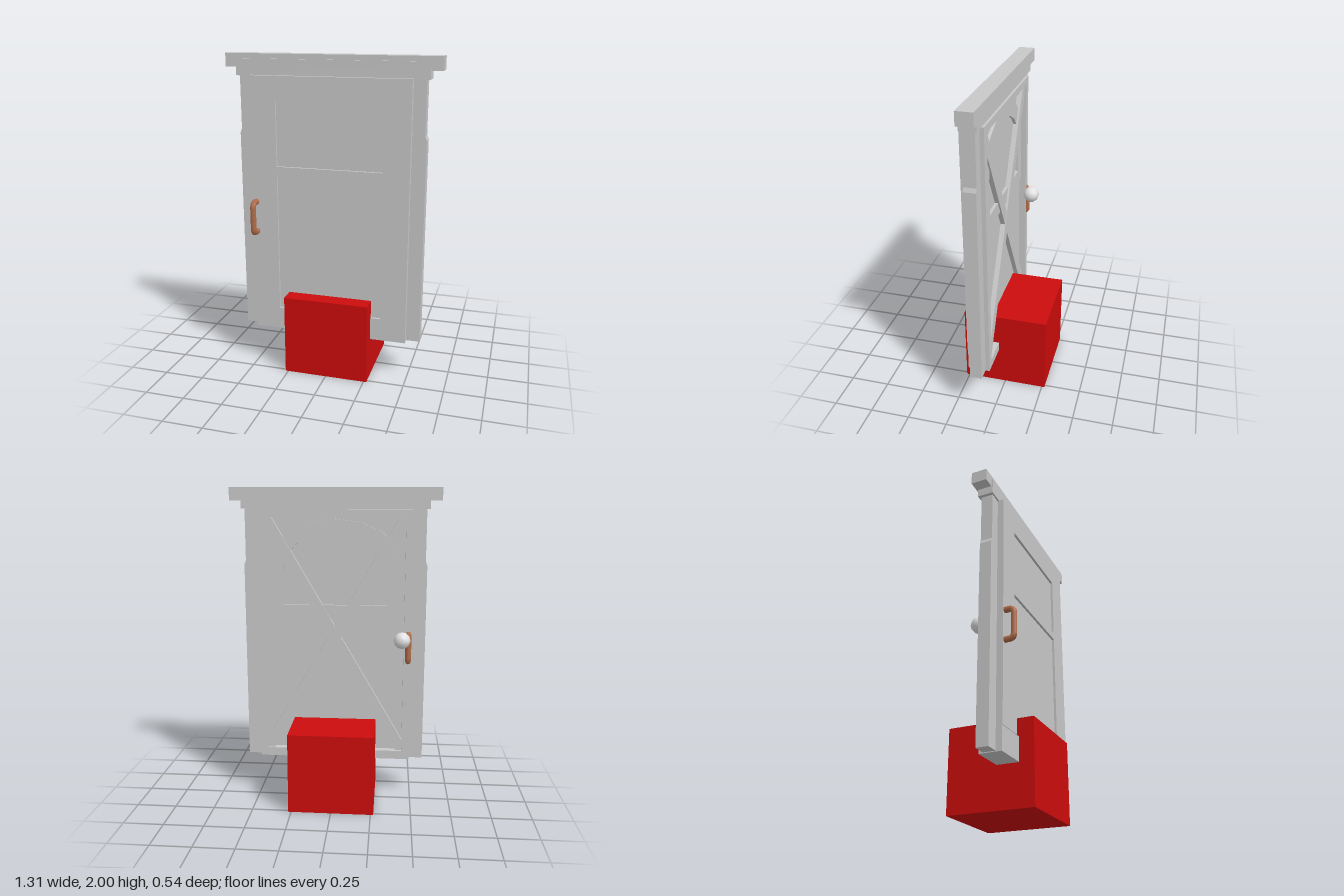
import * as THREE from 'three';

const paint = (name, color) => {
  const m = new THREE.MeshStandardMaterial({ color });
  m.name = name;
  return m;
};

export function createModel() {
  const model = new THREE.Group();
  model.name = 'door';
  const grey = paint('grey paint', 0xc8c8c8);
  const red = paint('red', 0xcc0c0c);
  const copper = paint('copper', 0xb06c4a);
  const pale = paint('pale metal', 0xe2e2e2);

  const add = (name, geometry, material) => {
    const mesh = new THREE.Mesh(geometry, material);
    mesh.name = name;
    model.add(mesh);
    return mesh;
  };
  // box given by its limits on each axis
  const block = (name, x0, x1, y0, y1, z0, z1, material = grey) => {
    const mesh = add(name, new THREE.BoxGeometry(x1 - x0, y1 - y0, z1 - z0), material);
    mesh.position.set((x0 + x1) / 2, (y0 + y1) / 2, (z0 + z1) / 2);
    return mesh;
  };
  // outline in x and y with holes, extruded from z0 to z1
  const vec = (pts) => pts.map(([x, y]) => new THREE.Vector2(x, y));
  const plate = (name, pts, holes, z0, z1) => {
    const shape = new THREE.Shape(vec(pts));
    holes.forEach((h) => shape.holes.push(new THREE.Path(vec(h))));
    const g = new THREE.ExtrudeGeometry(shape, { depth: z1 - z0, bevelEnabled: false });
    return add(name, g.translate(0, 0, z0), grey);
  };
  const rect = (w, y0, y1) => [[-w, y0], [w, y0], [w, y1], [-w, y1]];

  // block at the foot
  block('footBlock', -0.268, 0.268, 0, 0.51, -0.268, 0.268, red);

  // stepped lintel
  block('lintel', -0.585, 0.585, 1.87, 1.97, 0.05, 0.15);
  block('cap', -0.655, 0.655, 1.92, 2, 0.04, 0.14);

  // side posts, a little thicker in the lower part
  for (const s of [-1, 1]) {
    const pts = [[0.48, 0.26], [0.575, 0.26], [0.575, 1.525], [0.565, 1.55], [0.565, 1.872], [0.48, 1.872]];
    plate(s > 0 ? 'leftPost' : 'rightPost', pts.map(([x, y]) => [s * x, y]), [], 0.065, 0.14);
  }

  // door leaf with a framed front and a framed back
  block('doorPanel', -0.485, 0.485, 0.258, 1.868, 0.085, 0.165);
  plate('frontFrame', rect(0.49, 0.4, 1.875),
    [rect(0.33, 0.4001, 1.28), rect(0.33, 1.33, 1.73)], 0.085, 0.18);
  block('bottomRail', -0.49, 0.49, 0.255, 0.4, 0.085, 0.177);
  plate('backFrame', rect(0.49, 0.255, 1.865), [rect(0.44, 0.31, 1.82)], 0.04, 0.09);

  // arched window surround on the back
  const arch = (w, base, side, peak) => {
    const pts = [[-w, base], [w, base]];
    for (let i = 0; i <= 8; i++) {
      const a = (Math.PI * i) / 8;
      pts.push([w * Math.cos(a), side + (peak - side) * Math.sin(a)]);
    }
    return pts;
  };
  plate('archSurround', arch(0.41, 1.185, 1.55, 1.81), [arch(0.33, 1.27, 1.49, 1.735)], 0.066, 0.09);

  // crossed braces on the back
  const angle = Math.atan2(1.51, 0.88);
  [1, -1].forEach((s, i) => {
    const brace = add('crossBrace', new THREE.BoxGeometry(1.74, 0.07, 0.035), grey);
    brace.position.set(0, 1.065, 0.0735 - i * 0.003);
    brace.rotation.z = s * angle;
  });

  // looped handle passing through the door
  const loop = [[0.055, 0.91], [0.22, 0.91], [0.238, 0.93], [0.238, 1.08],
    [0.22, 1.1], [0.055, 1.1], [0.037, 1.08], [0.037, 0.93]];
  const path = new THREE.CatmullRomCurve3(
    loop.map(([z, y]) => new THREE.Vector3(-0.469, y, z)), true, 'catmullrom', 0.1);
  add('handle', new THREE.TubeGeometry(path, 56, 0.019, 8, true), copper);

  // round knob on the back
  const knob = add('knob', new THREE.SphereGeometry(0.053, 10, 6), pale);
  knob.position.set(-0.428, 1.062, -0.002);

  return model;
}
